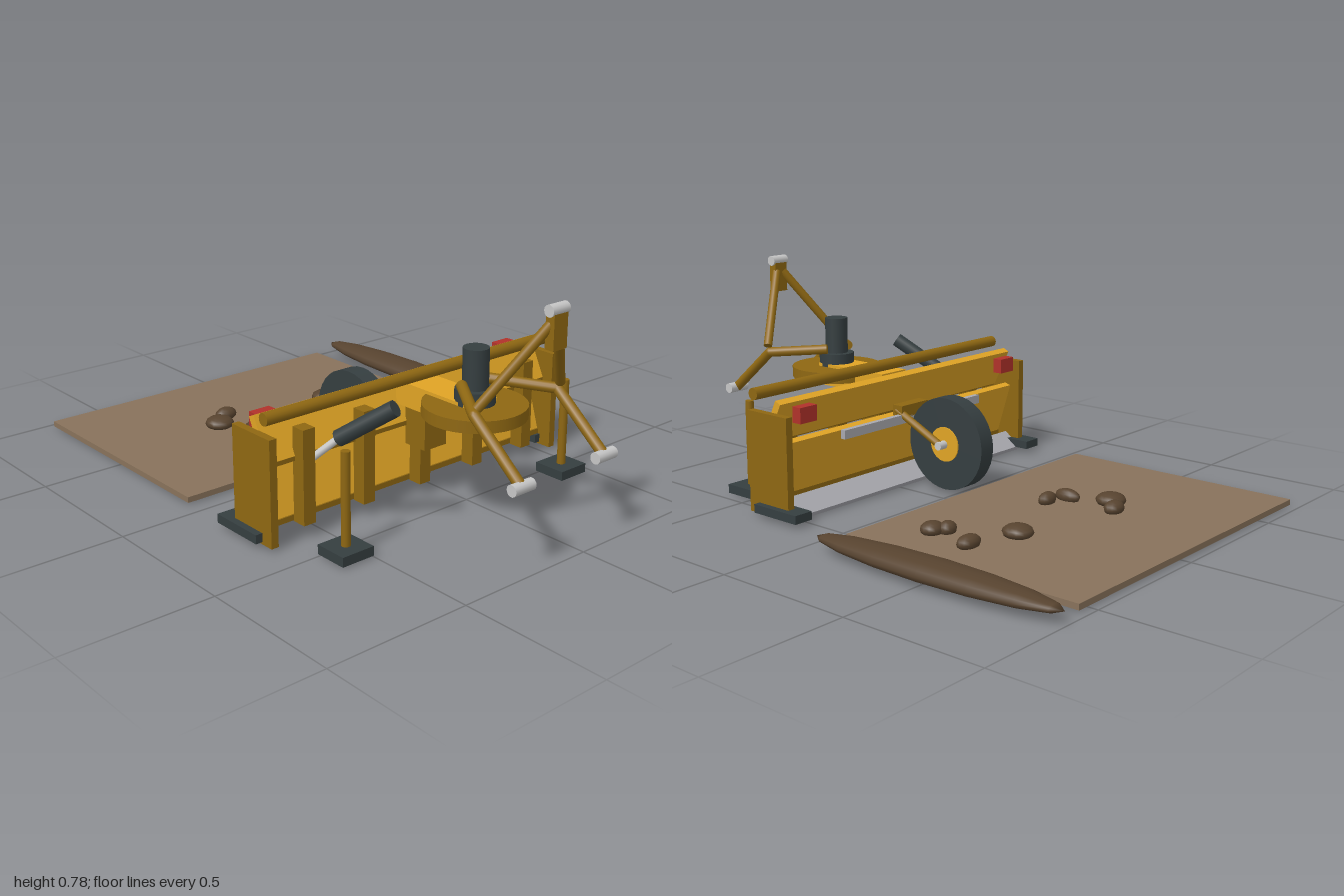
import * as THREE from 'three';

const paint = (name, color) => {
  const m = new THREE.MeshStandardMaterial({ color });
  m.name = name;
  return m;
};

export function createModel() {
  const model = new THREE.Group();
  model.name = 'gradingBlade';
  const yellow = paint('yellow', 0xe0a425);
  const ochre = paint('ochre', 0x8e6712);
  const dark = paint('darkRubber', 0x353e40);
  const steel = paint('steel', 0xa8a8ae);
  const bright = paint('brightSteel', 0xc6c6c6);
  const red = paint('red', 0xb0322a);
  const ground = paint('soil', 0x88725b);
  const clod = paint('darkSoil', 0x57432f);
  const CX = -0.08; // centre line of the implement

  const add = (name, geo, mat) => {
    const m = new THREE.Mesh(geo, mat);
    m.name = name;
    model.add(m);
    return m;
  };
  // box from its min and max corners
  const box = (name, mat, x0, x1, y0, y1, z0, z1) => {
    const m = add(name, new THREE.BoxGeometry(x1 - x0, y1 - y0, z1 - z0), mat);
    m.position.set((x0 + x1) / 2, (y0 + y1) / 2, (z0 + z1) / 2);
    return m;
  };
  // round bar between two points
  const rod = (name, mat, a, b, r, sides = 14) => {
    const p = new THREE.Vector3(...a), q = new THREE.Vector3(...b);
    const d = q.clone().sub(p);
    const m = add(name, new THREE.CylinderGeometry(r, r, d.length(), sides), mat);
    m.position.copy(p).add(q).multiplyScalar(0.5);
    m.quaternion.setFromUnitVectors(new THREE.Vector3(0, 1, 0), d.normalize());
    return m;
  };
  // slat leaning back, given height, thickness and tilt
  const slat = (name, mat, y, z, h, t, tilt, w = 1.22) => {
    const m = add(name, new THREE.BoxGeometry(w, h, t), mat);
    m.position.set(CX, y, z);
    m.rotation.x = -tilt;
  };

  // Soil patch, ridge and clods
  box('soilPatch', ground, -0.715, 0.55, 0, 0.02, -0.97, -0.065);
  const ridgeGeo = new THREE.SphereGeometry(1, 12, 8).rotateX(Math.PI / 2);
  const ridge = add('soilRidge', ridgeGeo, clod);
  ridge.scale.set(0.077, 0.034, 0.478);
  ridge.position.set(0.656, 0.038, -0.52);
  const clods = [
    [-0.27, -0.525, 0.053, 0.053], [-0.2, -0.585, 0.043, 0.032],
    [-0.208, -0.388, 0.026, 0.05], [-0.133, -0.356, 0.04, 0.026],
    [0.205, -0.49, 0.052, 0.053], [0.386, -0.437, 0.049, 0.031],
    [0.327, -0.3, 0.034, 0.028], [0.362, -0.265, 0.043, 0.038],
  ];
  for (const [x, z, rx, rz] of clods) {
    const c = add('clod', new THREE.SphereGeometry(1, 12, 8), clod);
    c.scale.set(rx, 0.026, rz);
    c.position.set(x, 0.034, z);
  }

  // Blade: two leaning slats, lower lip and cutting edge
  slat('upperSlat', yellow, 0.325, 0.3, 0.155, 0.026, 0.45);
  slat('lowerSlat', yellow, 0.155, 0.287, 0.215, 0.026, 0.3);
  box('slatLip', ochre, -0.69, 0.53, 0.245, 0.26, 0.325, 0.345);
  box('lowerLip', ochre, -0.69, 0.53, 0.043, 0.062, 0.3, 0.335);
  slat('cuttingEdge', steel, 0.028, 0.235, 0.085, 0.022, -0.95);
  box('rearWearStrip', steel, -0.445, 0.28, 0.23, 0.262, 0.205, 0.225);
  rod('topTube', ochre, [-0.715, 0.415, 0.36], [0.555, 0.415, 0.36], 0.021, 16);

  // Front ribs
  for (let i = -2; i <= 2; i++) {
    const x = CX + i * 0.2425;
    box('rib', ochre, x - 0.023, x + 0.023, 0.04, 0.355, 0.335, 0.386);
  }

  // End plates, skid shoes, reflectors and parking stands
  for (const s of [-1, 1]) {
    const px = CX + s * 0.622, fx = CX + s * 0.623;
    box('endPlate', ochre, px - 0.0135, px + 0.0135, 0.004, 0.357, 0.2, 0.388);
    box('skidShoe', dark, fx - 0.037, fx + 0.037, 0.012, 0.042, 0.14, 0.342);
    const rx = CX + s * 0.533;
    box('reflector', red, rx - 0.038, rx + 0.038, 0.325, 0.38, 0.2, 0.238);
    const lx = CX + s * 0.483;
    box('standFoot', dark, lx - 0.06, lx + 0.06, 0, 0.032, 0.495, 0.613);
    rod('standPost', ochre, [lx, 0.03, 0.555], [lx, 0.337, 0.555], 0.015, 12);
  }

  // Drawbar, bracket and turntable
  box('drawbar', yellow, -0.143, -0.018, 0.315, 0.396, 0.31, 0.64);
  box('drawbarBracket', ochre, -0.128, -0.032, 0.18, 0.318, 0.34, 0.432);
  rod('turntable', ochre, [CX, 0.345, 0.605], [CX, 0.385, 0.605], 0.168, 32);
  rod('motorBase', dark, [CX, 0.383, 0.605], [CX, 0.434, 0.605], 0.065, 16);
  rod('motor', dark, [CX, 0.43, 0.605], [CX, 0.566, 0.605], 0.042, 16);

  // Hitch arms and mast
  for (const s of [-1, 1]) {
    const x = CX + s * 0.182;
    rod('hitchArm', ochre, [CX + s * 0.055, 0.452, 0.6], [x, 0.437, 0.78], 0.018);
    rod('hitchLink', ochre, [x, 0.437, 0.78], [x, 0.275, 0.975], 0.018);
    const elbow = add('hitchElbow', new THREE.SphereGeometry(0.018, 12, 8), ochre);
    elbow.position.set(x, 0.437, 0.78);
    rod('hitchPin', bright, [x - 0.042, 0.275, 0.976], [x + 0.042, 0.275, 0.976], 0.019);
    rod('mastLeg', ochre, [x, 0.46, 0.79], [CX + s * 0.015, 0.715, 0.915], 0.016);
  }
  box('mastHead', ochre, CX - 0.029, CX + 0.029, 0.638, 0.755, 0.905, 0.938);
  rod('mastPin', bright, [CX - 0.036, 0.757, 0.922], [CX + 0.036, 0.757, 0.922], 0.019);

  // Side hydraulic ram
  rod('ramRod', bright, [-0.54, 0.25, 0.37], [-0.48, 0.326, 0.438], 0.012, 10);
  rod('ramBody', dark, [-0.487, 0.318, 0.43], [-0.398, 0.438, 0.588], 0.027, 12);

  // Rear gauge wheel and fork
  const WY = 0.177, WZ = 0.034;
  const across = (name, mat, half, r, sides) =>
    rod(name, mat, [CX - half, WY, WZ], [CX + half, WY, WZ], r, sides);
  across('tire', dark, 0.032, 0.167, 36);
  across('wheelRim', yellow, 0.037, 0.063, 20);
  across('axle', bright, 0.072, 0.015, 12);
  for (const s of [-1, 1]) {
    const x = CX + s * 0.058;
    rod('forkArm', ochre, [x, WY, WZ], [x, 0.275, 0.24], 0.014, 12);
  }
  box('forkBridge', ochre, CX - 0.07, CX + 0.07, 0.25, 0.295, 0.205, 0.25);

  return model;
}
